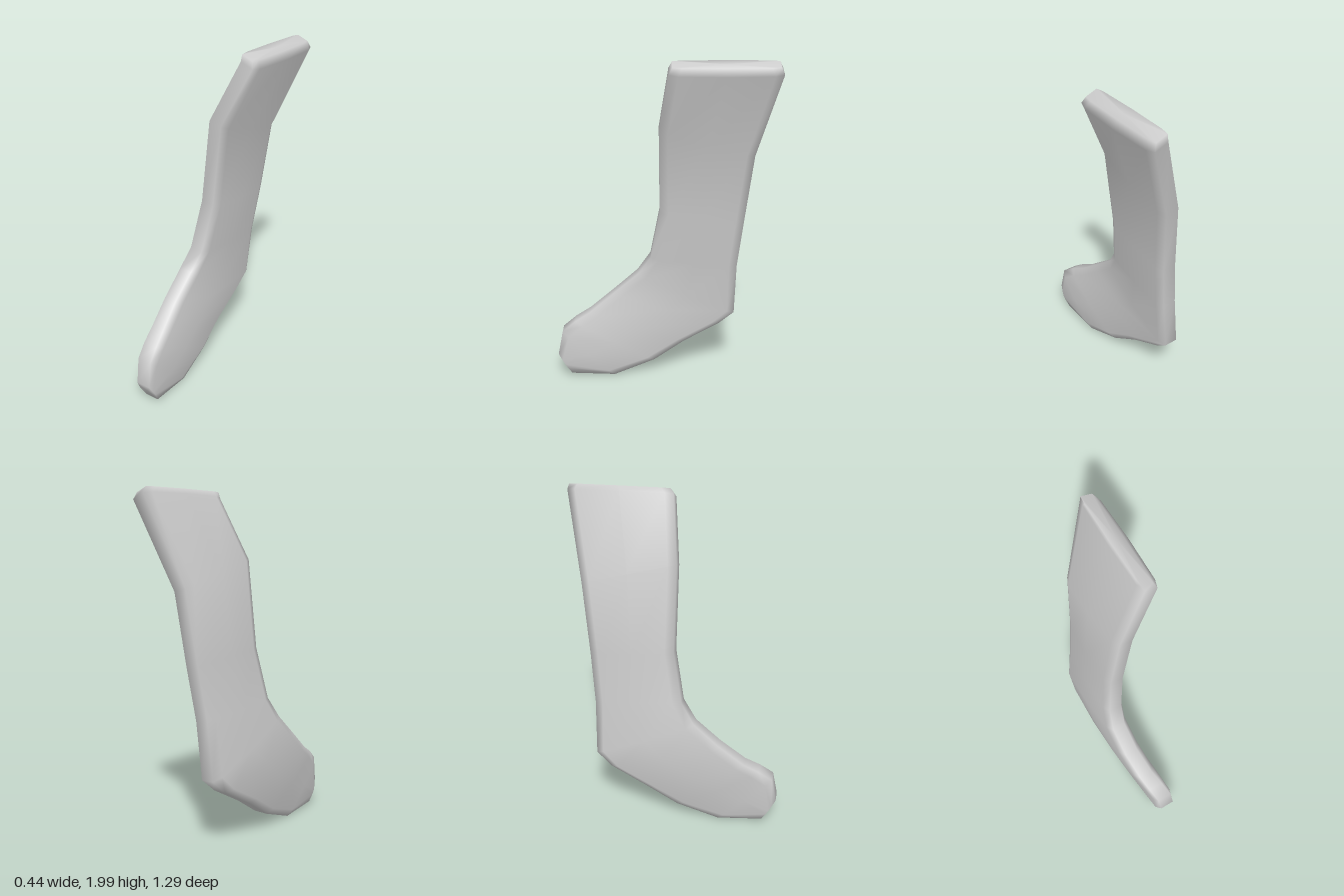
import * as THREE from 'three';

// Each ring crosses the sock from its front edge to its back edge:
// front [x, y, z], back [x, y, z], rim half, body half, downward tilt of the thickness
const RINGS = [
  [[0.15, 1.98, -0.05], [0.15, 1.98, -0.63], 0.035, 0.045, 0.42],
  [[0.16, 1.945, -0.03], [0.16, 1.945, -0.645], 0.04, 0.065, 0.42],
  [[-0.01, 1.6, 0.02], [-0.02, 1.46, -0.53], 0.04, 0.072, 0.28],
  [[-0.07, 1.1, 0.015], [-0.06, 1.05, -0.485], 0.04, 0.07, 0.13],
  [[-0.115, 0.8, 0.07], [-0.1, 0.75, -0.455], 0.04, 0.072, 0.13],
  [[-0.14, 0.68, 0.15], [-0.135, 0.42, -0.45], 0.04, 0.077, 0.05],
  [[-0.14, 0.55, 0.3], [-0.145, 0.34, -0.36], 0.04, 0.08, 0],
  [[-0.12, 0.43, 0.45], [-0.14, 0.22, -0.14], 0.042, 0.08, 0],
  [[-0.1, 0.38, 0.54], [-0.12, 0.1, 0.05], 0.045, 0.077, 0],
  [[-0.08, 0.32, 0.62], [-0.095, 0.01, 0.3], 0.045, 0.07, 0],
  [[-0.07, 0.17, 0.65], [-0.08, 0.03, 0.57], 0.045, 0.06, 0],
];

// Flattened closed cross-section with a narrow rim at either edge
function ringPoints([f, b, rim, body, tilt]) {
  const front = new THREE.Vector3(...f), back = new THREE.Vector3(...b);
  const inset = Math.min(0.05 / front.distanceTo(back), 0.3);
  const normal = new THREE.Vector3(1, -tilt, 0).normalize();
  const shoulder = rim + (body - rim) * 0.7;
  const half = [[0, rim], [inset, shoulder], [0.5, body], [1 - inset, shoulder], [1, rim]];
  const side = (s) => half.map(([t, h]) => front.clone().lerp(back, t).addScaledVector(normal, s * h));
  return [...side(1), ...side(-1).reverse()];
}

function sockGeometry() {
  const rings = RINGS.map(ringPoints);
  const n = rings[0].length, last = (rings.length - 1) * n;
  const points = rings.flat(), index = [];
  for (let i = 0; i < rings.length - 1; i++) {
    for (let j = 0; j < n; j++) {
      const k = (j + 1) % n;
      const a = i * n + j, b = i * n + k, c = b + n, d = a + n;
      index.push(d, c, b, d, b, a);
    }
  }
  // Close the cuff and the toe
  const centre = (ring) => ring.reduce((s, p) => s.add(p), new THREE.Vector3()).divideScalar(n);
  const top = points.push(centre(rings[0])) - 1;
  const toe = points.push(centre(rings[rings.length - 1])) - 1;
  for (let j = 0; j < n; j++) {
    const k = (j + 1) % n;
    index.push(top, j, k, toe, last + k, last + j);
  }
  const geometry = new THREE.BufferGeometry().setFromPoints(points);
  geometry.setIndex(index);
  geometry.computeVertexNormals();
  return geometry;
}

export function createModel() {
  const group = new THREE.Group();
  group.name = 'sockModel';
  const sock = new THREE.Mesh(sockGeometry(), new THREE.MeshStandardMaterial({ color: 0xcccccc }));
  sock.name = 'sock';
  group.add(sock);
  return group;
}
